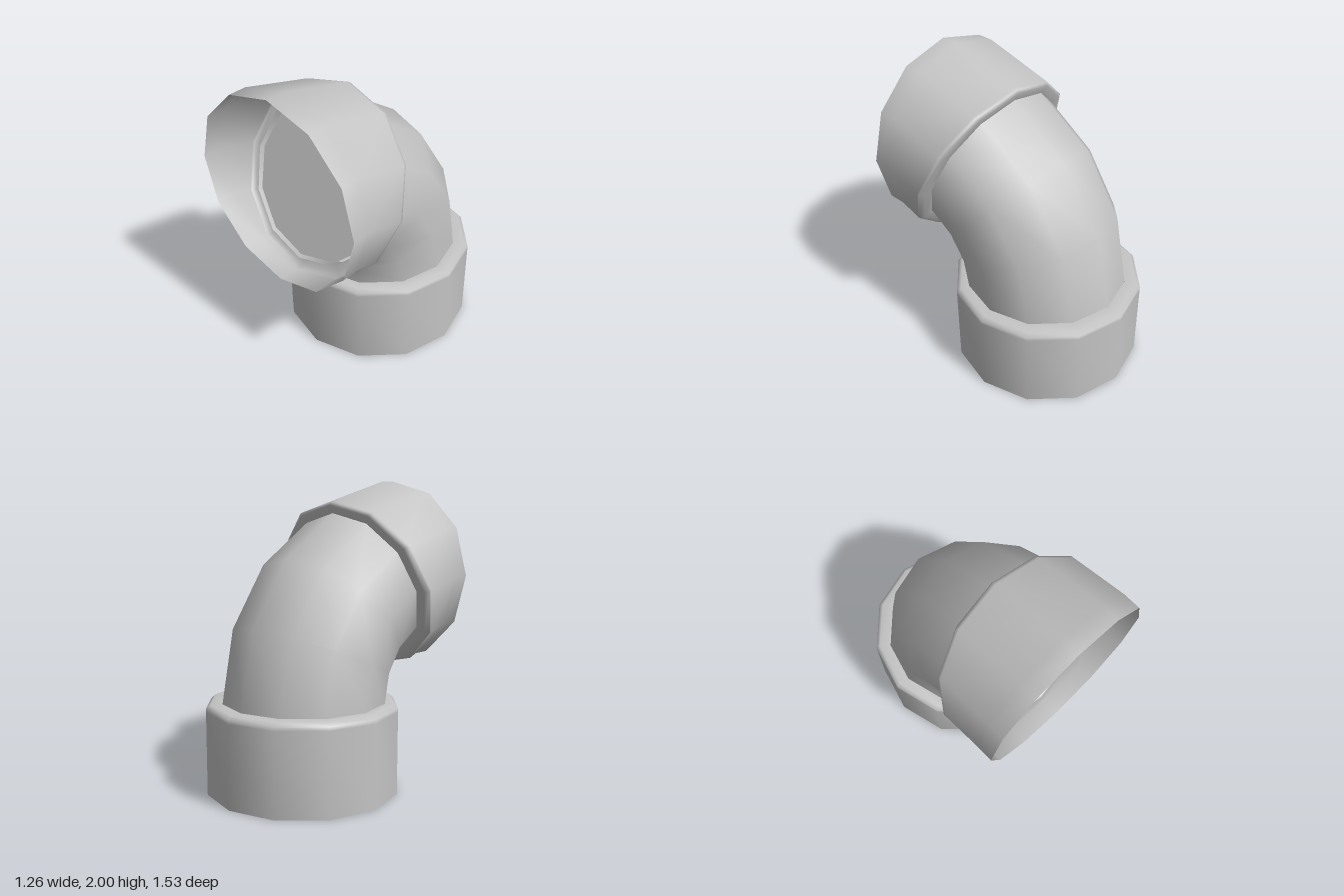
import * as THREE from 'three';

const SIDES = 12;

// A cross-section: centre height y and depth z, half-widths, and how far the pipe axis leans forward (degrees)
const ring = (y, z, rx, ry, lean) => ({ y, z, rx, ry, t: THREE.MathUtils.degToRad(lean) });

function ringPoints({ y, z, rx, ry, t }) {
  const pts = [];
  for (let i = 0; i < SIDES; i++) {
    const a = (i / SIDES) * Math.PI * 2;
    const u = ry * Math.cos(a);
    pts.push(rx * Math.sin(a), y + u * Math.sin(t), z - u * Math.cos(t));
  }
  return pts;
}

// Smooth skin through a row of cross-sections
function loft(rings) {
  const index = [];
  for (let r = 0; r < rings.length - 1; r++) {
    for (let i = 0; i < SIDES; i++) {
      const j = (i + 1) % SIDES;
      const a = r * SIDES + i, b = r * SIDES + j;
      index.push(a, b + SIDES, b, a, a + SIDES, b + SIDES);
    }
  }
  const geo = new THREE.BufferGeometry();
  geo.setAttribute('position', new THREE.Float32BufferAttribute(rings.flatMap(ringPoints), 3));
  geo.setIndex(index);
  geo.computeVertexNormals();
  return geo;
}

// Flat disc filling one cross-section, facing along the pipe axis or against it
function disc(section, forward) {
  const index = [];
  for (let i = 1; i < SIDES - 1; i++) index.push(...(forward ? [0, i + 1, i] : [0, i, i + 1]));
  const geo = new THREE.BufferGeometry();
  geo.setAttribute('position', new THREE.Float32BufferAttribute(ringPoints(section), 3));
  geo.setIndex(index);
  geo.computeVertexNormals();
  return geo;
}

export function createModel() {
  const group = new THREE.Group();
  const grey = new THREE.MeshStandardMaterial({ color: 0xc4c4c4, side: THREE.DoubleSide });
  grey.name = 'pipe grey';
  const add = (name, geo) => {
    const mesh = new THREE.Mesh(geo, grey);
    mesh.name = name;
    group.add(mesh);
  };

  // Bent pipe, its ends reaching just inside the collars
  const bend = [ring(0.55, -0.125, 0.535, 0.53, 0)];
  for (let i = 0; i < 4; i++) {
    const t = (i * Math.PI) / 8;
    bend.push(ring(0.59 + 0.76 * Math.sin(t), 0.64 - 0.765 * Math.cos(t), 0.535, 0.532, i * 22.5));
  }
  bend.push(ring(1.31, 0.4, 0.537, 0.537, 68));
  add('elbowPipe', loft(bend));

  // Plates closing the pipe, set slightly in from its ends
  add('upperEndPlate', disc(ring(1.303, 0.37, 0.527, 0.52, 66), true));
  add('lowerEndPlate', disc(ring(0.58, -0.125, 0.527, 0.52, 0), false));

  // Lower collar: open at the foot, with a bevelled shoulder and inner lip
  add('lowerCollar', loft([
    ring(0, -0.139, 0.628, 0.628, 0),
    ring(0.54, -0.139, 0.628, 0.628, 0),
    ring(0.565, -0.139, 0.627, 0.627, 0),
    ring(0.587, -0.139, 0.6, 0.6, 0),
    ring(0.587, -0.13, 0.53, 0.53, 0),
  ]));

  // Upper collar: leaning shoulder that turns into an upright open mouth
  add('upperCollar', loft([
    ring(1.29, 0.355, 0.53, 0.53, 67),
    ring(1.291, 0.349, 0.6, 0.593, 67),
    ring(1.294, 0.37, 0.627, 0.614, 66.6),
    ring(1.298, 0.385, 0.627, 0.615, 67.2),
    ring(1.374, 0.65, 0.627, 0.627, 90),
    ring(1.374, 0.767, 0.627, 0.627, 90),
  ]));

  return group;
}
